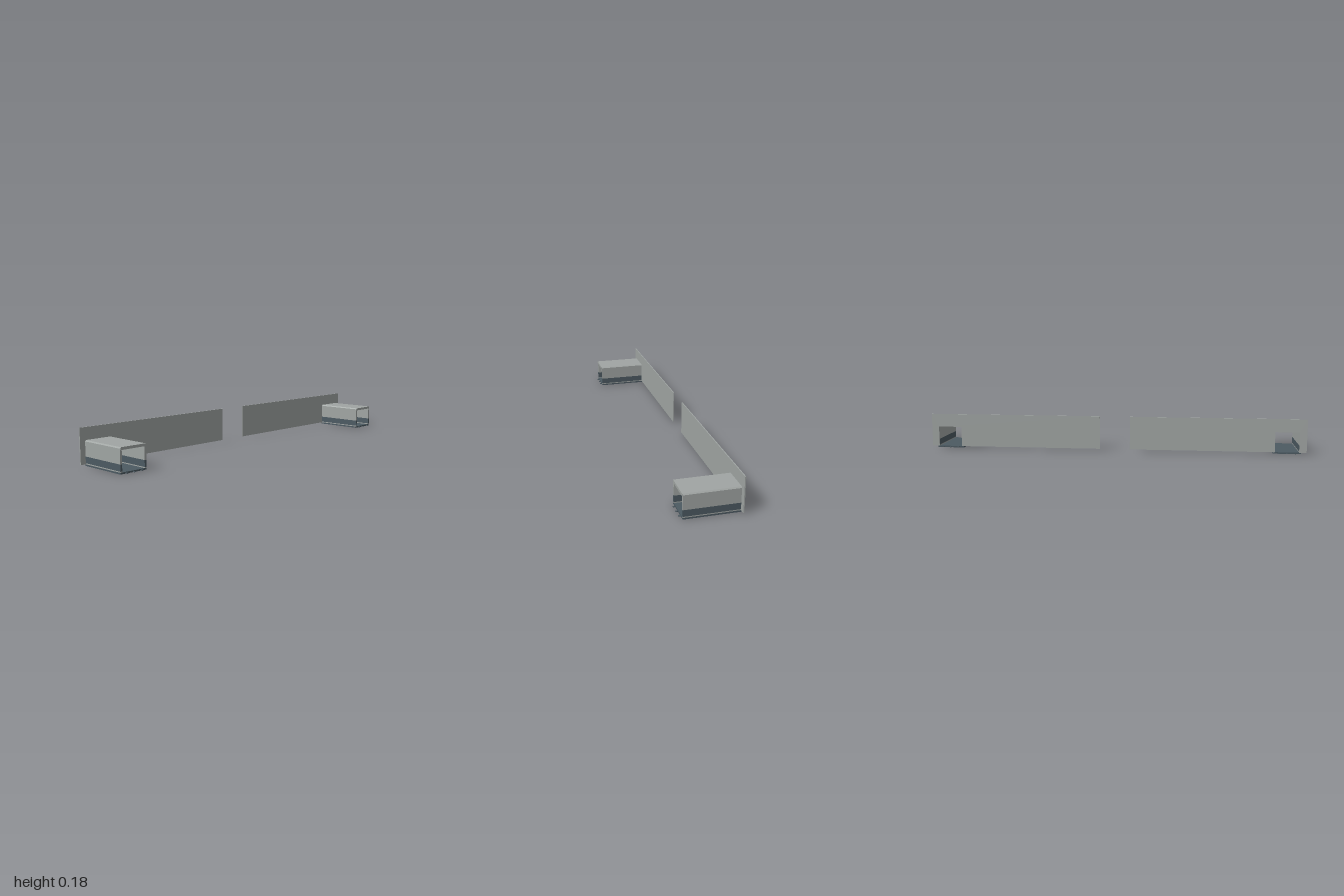
import * as THREE from 'three';

const grey = new THREE.MeshStandardMaterial({ color: 0xa0a5a3 });
grey.name = 'concreteGrey';
const slate = new THREE.MeshStandardMaterial({ color: 0x4c5a62 });
slate.name = 'darkSlate';

function mesh(name, geometry, material, parent) {
  const m = new THREE.Mesh(geometry, material);
  m.name = name;
  parent.add(m);
  return m;
}

// Box given by its limits on each axis
function box(name, [x0, x1], [y0, y1], [z0, z1], material, parent) {
  const g = new THREE.BoxGeometry(x1 - x0, y1 - y0, z1 - z0);
  g.translate((x0 + x1) / 2, (y0 + y1) / 2, (z0 + z1) / 2);
  return mesh(name, g, material, parent);
}

// Outline in (z, y), extruded along x
function extrudeAlongX(points, x0, x1) {
  const shape = new THREE.Shape(points.map(([z, y]) => new THREE.Vector2(z, y)));
  const g = new THREE.ExtrudeGeometry(shape, { depth: x1 - x0, bevelEnabled: false });
  g.rotateY(-Math.PI / 2);
  g.translate(x1, 0, 0);
  return g;
}

// Tunnel, centred on its own z axis
function createTunnel() {
  const tunnel = new THREE.Group();
  tunnel.name = 'tunnel';
  const h = 0.0725, t = 0.01, length = [-0.132, 0.133];

  // Upper walls and roof with chamfered corners
  mesh('upperShell', extrudeAlongX([
    [-h, 0.045], [-h + t, 0.045], [-h + t, 0.114], [h - t, 0.114], [h - t, 0.045],
    [h, 0.045], [h, 0.116], [h - 0.005, 0.122], [-h + 0.005, 0.122], [-h, 0.116],
  ], ...length), grey, tunnel);

  // Dark lower walls above a light sill
  for (const s of [-1, 1]) {
    const z = s > 0 ? [h - t, h] : [-h, -h + t];
    box('lowerWall', length, [0.013, 0.045], z, slate, tunnel);
    box('sill', length, [0.008, 0.013], z, grey, tunnel);
  }
  box('floor', [-0.134, 0.132], [0, 0.008], [-h, h], slate, tunnel);
  box('endLintel', [0.133, 0.135], [0.109, 0.122], [-h + 0.004, h - 0.004], grey, tunnel);

  // Tabs projecting from both floor ends
  for (const s of [-1, 1]) {
    for (const z of [-0.042, 0, 0.042]) {
      const tab = box('floorTab', [-0.006, 0.006], [0.001, 0.004], [-0.004, 0.004], slate, tunnel);
      tab.position.set(s * 0.137, 0, z);
    }
  }

  // Ceiling lamp on a short stem
  const stem = mesh('lampStem', new THREE.CylinderGeometry(0.003, 0.003, 0.016, 8), slate, tunnel);
  stem.position.y = 0.106;
  const lamp = mesh('lampShade', new THREE.CylinderGeometry(0.012, 0.015, 0.006, 16), slate, tunnel);
  lamp.position.y = 0.098;
  return tunnel;
}

export function createModel() {
  const model = new THREE.Group();
  model.name = 'wallsWithTunnels';
  for (const s of [-1, 1]) {
    // Long wall with a doorway open at the bottom
    const outline = [
      [0.08, 0.008], [0.8375, 0.008], [0.8375, 0.114], [0.9625, 0.114],
      [0.9625, 0.008], [1, 0.008], [1, 0.183], [0.08, 0.183],
    ].map(([z, y]) => [s * z, y]);
    mesh('longWall', extrudeAlongX(outline, -0.137, -0.132), grey, model);

    const tunnel = createTunnel();
    tunnel.position.z = s * 0.9;
    model.add(tunnel);
  }
  return model;
}
